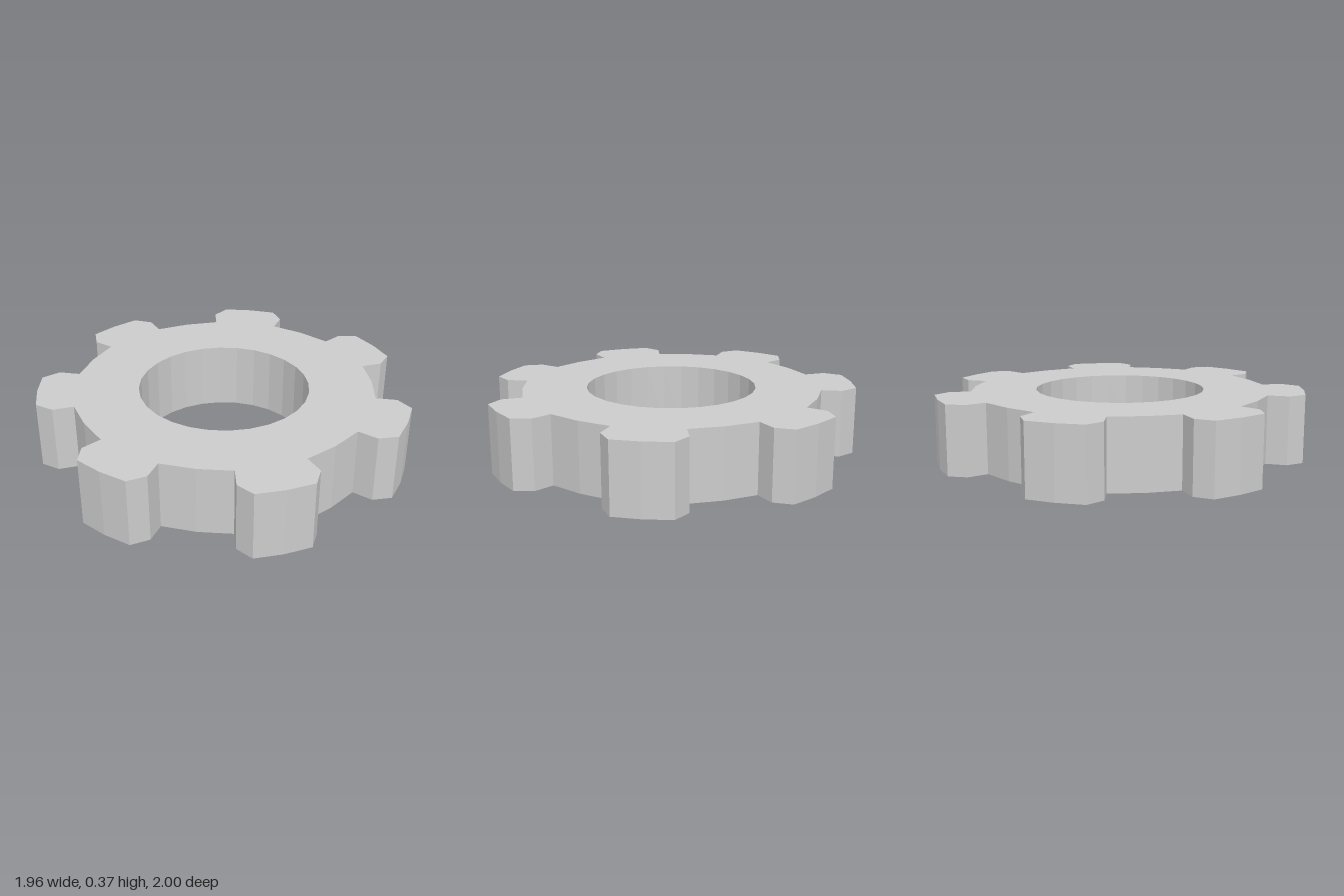
import * as THREE from 'three';

const TEETH = 7, HEIGHT = 0.37, HOLE_RADIUS = 0.46, HOLE_SIDES = 28;

// One tooth and half a valley on each side: [angle in degrees, radius]
const TOOTH = [
  [-12.8, 0.812], [-12.8, 0.925], [-8.57, 1.003], [0, 1.003],
  [8.57, 1.003], [12.8, 0.925], [12.8, 0.812], [180 / TEETH, 0.807],
];

const polar = (degrees, radius) => {
  const a = THREE.MathUtils.degToRad(degrees);
  return new THREE.Vector2(radius * Math.cos(a), radius * Math.sin(a));
};

export function createModel() {
  const group = new THREE.Group();
  group.name = 'gear';

  // Toothed outline, with one tooth pointing to -x
  const outline = [];
  for (let i = 0; i < TEETH; i++) {
    for (const [angle, radius] of TOOTH) outline.push(polar(180 + (i * 360) / TEETH + angle, radius));
  }
  const shape = new THREE.Shape(outline);

  // Faceted central bore
  const bore = [];
  for (let i = 0; i < HOLE_SIDES; i++) bore.push(polar((-i * 360) / HOLE_SIDES, HOLE_RADIUS));
  shape.holes.push(new THREE.Path(bore));

  // Extrude upward; the odd tooth count shifts the axis off the bounding-box centre
  const geometry = new THREE.ExtrudeGeometry(shape, { depth: HEIGHT, bevelEnabled: false });
  geometry.rotateX(-Math.PI / 2);
  geometry.translate(0.022, 0, 0);

  const ring = new THREE.Mesh(geometry, new THREE.MeshStandardMaterial({ color: 0xcccccc, flatShading: true }));
  ring.name = 'toothedRing';
  group.add(ring);
  return group;
}
